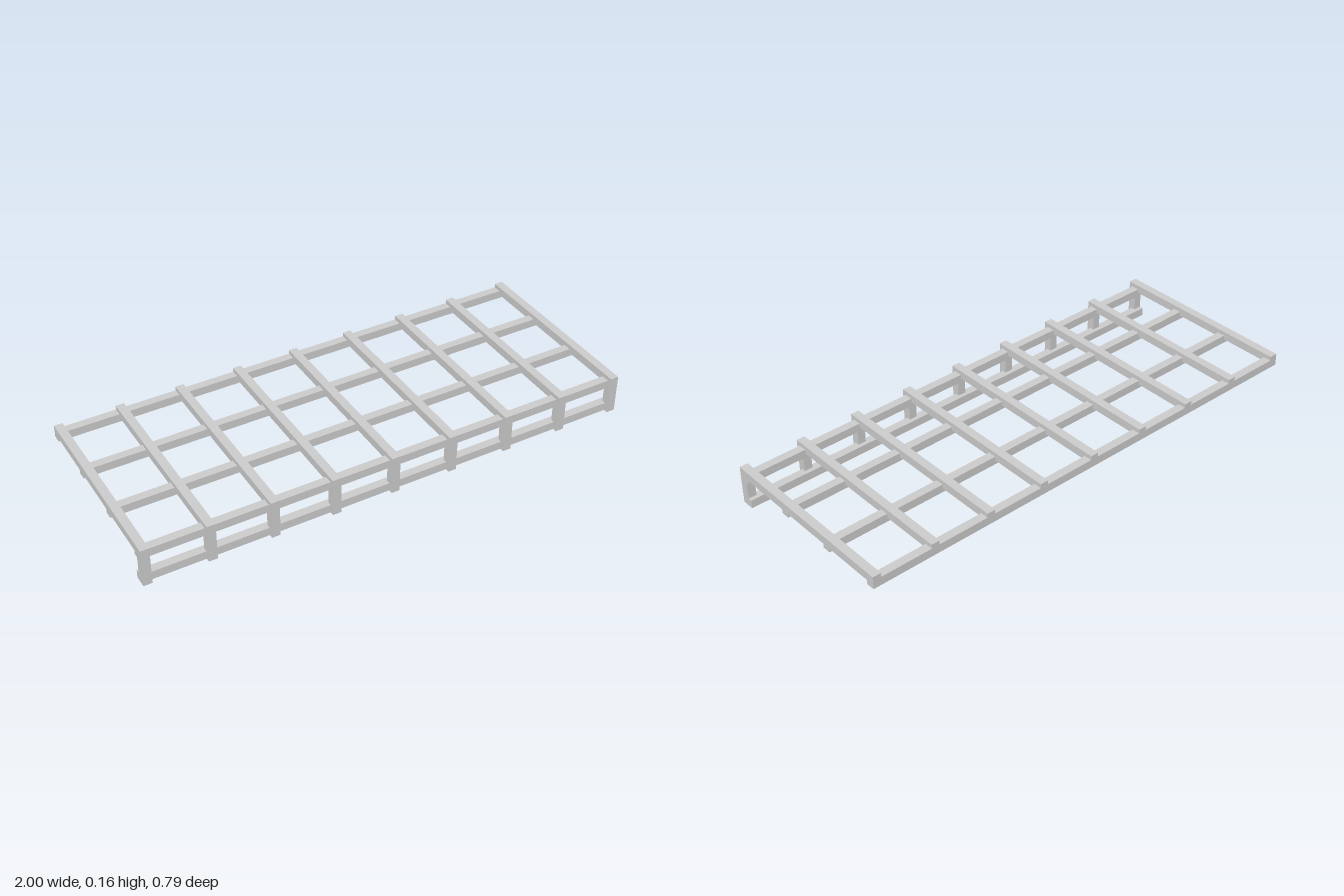
import * as THREE from 'three';

const T = 0.034;      // timber thickness
const HALF_Z = 0.394; // half depth
const TOP = 0.158;    // overall height
const STEP = 0.2457;  // spacing of ribs and rails

export function createModel() {
  const group = new THREE.Group();
  const material = new THREE.MeshStandardMaterial({ color: 0xcccccc, flatShading: true });

  // L-shaped ribs: a flat rafter with a post down the front
  const profile = new THREE.Shape([
    [-HALF_Z, TOP - T], [HALF_Z - T, TOP - T], [HALF_Z - T, 0],
    [HALF_Z, 0], [HALF_Z, TOP], [-HALF_Z, TOP],
  ].map(([z, y]) => new THREE.Vector2(z, y)));
  const ribGeometry = new THREE.ExtrudeGeometry(profile, { depth: T, bevelEnabled: false });
  ribGeometry.translate(0, 0, -T / 2).rotateY(-Math.PI / 2); // profile z runs along +z
  for (let i = -4; i <= 4; i++) {
    const rib = new THREE.Mesh(ribGeometry, material);
    rib.name = 'rib';
    rib.position.x = i * STEP;
    group.add(rib);
  }

  // Long rails, half notched into the ribs
  const railGeometry = new THREE.BoxGeometry(2, T, T);
  const addRail = (name, y, z) => {
    const rail = new THREE.Mesh(railGeometry, material);
    rail.name = name;
    rail.position.set(0, y, z);
    group.add(rail);
  };
  for (let i = 0; i < 4; i++) addRail('topRail', 0.124, -HALF_Z + T / 2 + i * STEP);
  addRail('bottomFrontRail', T / 2, HALF_Z - T);

  return group;
}
